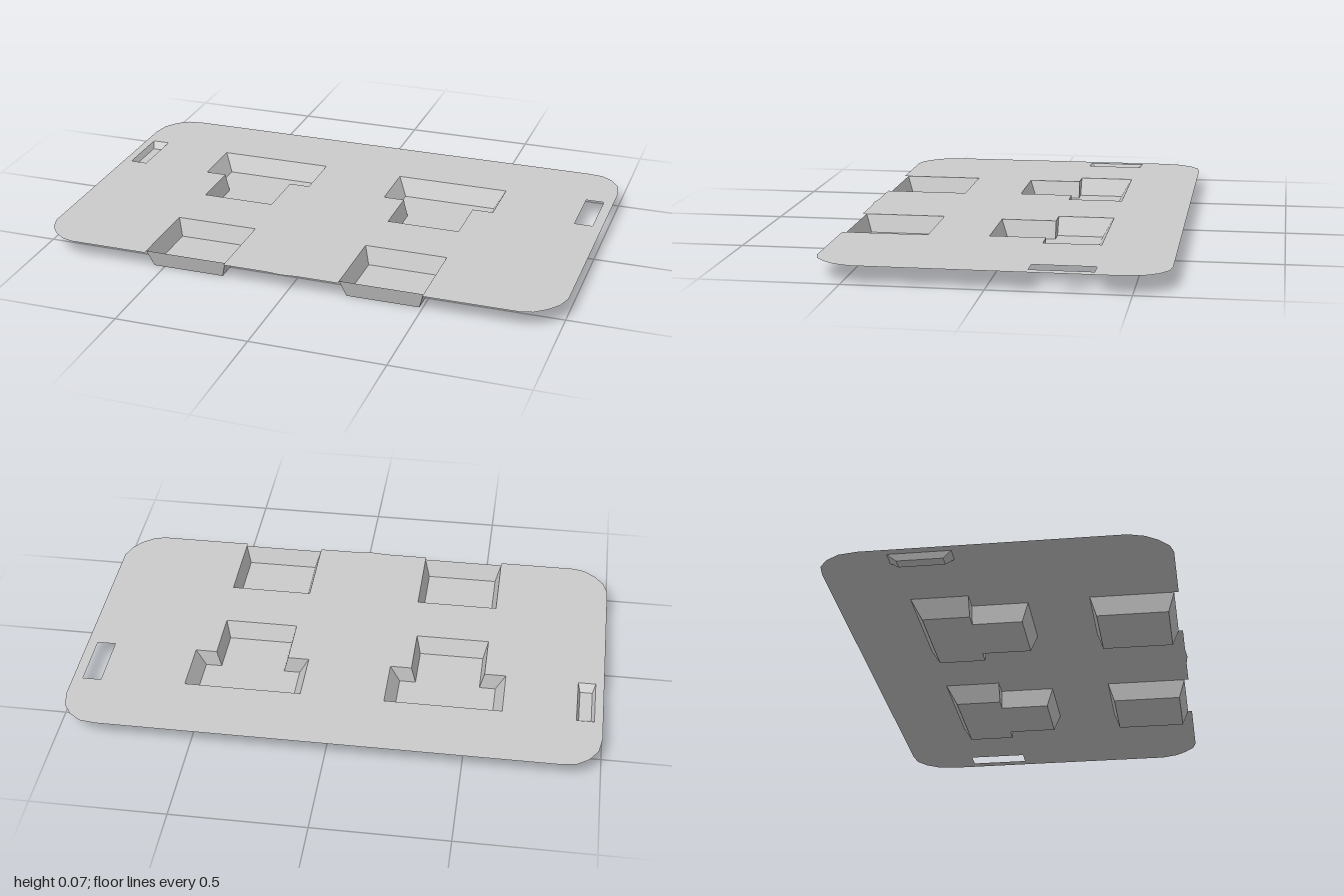
import * as THREE from 'three';

const TOP = 0.067;
const material = new THREE.MeshStandardMaterial({
  color: 0xcccccc, flatShading: true, side: THREE.DoubleSide,
});

// Outlines are lists of [x, z] points; the shape is laid flat facing up.
const toVectors = (pts) => pts.map(([x, z]) => new THREE.Vector2(x, -z));

function flatSheet(pts, y, holes = []) {
  const shape = new THREE.Shape(toVectors(pts));
  holes.forEach((h) => shape.holes.push(new THREE.Path(toVectors(h))));
  return new THREE.ShapeGeometry(shape).rotateX(-Math.PI / 2).translate(0, y, 0);
}

const rect = (x0, x1, z0, z1) => [[x0, z0], [x0, z1], [x1, z1], [x1, z0]];

// T outline: wide bar at the back, narrower stem towards the front
const tee = (cx, bar, stem, zBack, zStep, zFront) => [
  [cx - bar, zBack], [cx - bar, zStep], [cx - stem, zStep], [cx - stem, zFront],
  [cx + stem, zFront], [cx + stem, zStep], [cx + bar, zStep], [cx + bar, zBack],
];

// Sloping walls between the rim and the floor outline
function walls(rim, floor, yFloor) {
  const pos = [];
  rim.forEach((a, i) => {
    const j = (i + 1) % rim.length;
    const A = [a[0], TOP, a[1]], B = [rim[j][0], TOP, rim[j][1]];
    const C = [floor[j][0], yFloor, floor[j][1]], D = [floor[i][0], yFloor, floor[i][1]];
    pos.push(...A, ...B, ...C, ...A, ...C, ...D);
  });
  const geo = new THREE.BufferGeometry();
  geo.setAttribute('position', new THREE.Float32BufferAttribute(pos, 3));
  geo.computeVertexNormals();
  return geo;
}

function addMesh(parent, name, geometry) {
  const mesh = new THREE.Mesh(geometry, material);
  mesh.name = name;
  parent.add(mesh);
}

function pocket(name, rim, floor, yFloor) {
  const group = new THREE.Group();
  group.name = name;
  addMesh(group, name + 'Walls', walls(rim, floor, yFloor));
  addMesh(group, name + 'Floor', flatSheet(floor, yFloor));
  return group;
}

export function createModel() {
  const model = new THREE.Group();
  model.name = 'recessedPlate';

  // Pocket rims
  const teeCentres = [-0.407, 0.351];
  const squareCentres = [-0.404, 0.351];
  const teeRims = teeCentres.map((c) => tee(c, 0.221, 0.14, -0.352, -0.14, 0.067));
  const squareRims = squareCentres.map((c) => rect(c - 0.157, c + 0.157, 0.293, 0.598));
  const slotRim = rect(-0.968, -0.902, -0.37, -0.144);
  const openSlot = rect(0.892, 0.962, -0.37, -0.144);

  // Plate outline: rounded corners, front edge notched around the square pockets
  const notch = ([a, , , d]) => [[a[0], 0.614], a, d, [d[0], 0.614]];
  const outline = [
    [-0.85, -0.625], [-0.91, -0.617], [-0.955, -0.585], [-0.988, -0.535], [-1, -0.465],
    [-1, 0.465], [-0.982, 0.522], [-0.95, 0.565], [-0.905, 0.602], [-0.86, 0.614],
    ...notch(squareRims[0]),
    [-0.08, 0.614], [-0.02, 0.62], [0.04, 0.614],
    ...notch(squareRims[1]),
    [0.86, 0.614], [0.905, 0.602], [0.95, 0.565], [0.982, 0.522], [1, 0.465],
    [1, -0.465], [0.988, -0.535], [0.955, -0.585], [0.91, -0.617], [0.85, -0.625],
  ];
  addMesh(model, 'plate', flatSheet(outline, TOP, [...teeRims, slotRim, openSlot]));

  // T-shaped and square pockets, one of each on both sides
  ['right', 'left'].forEach((side, i) => {
    const t = teeCentres[i], s = squareCentres[i];
    model.add(pocket(side + 'TeePocket', teeRims[i],
      tee(t, 0.184, 0.123, -0.314, -0.14, 0.043), 0));
    model.add(pocket(side + 'SquarePocket', squareRims[i],
      rect(s - 0.137, s + 0.137, 0.315, 0.575), 0));
  });

  // Shallow slot at the right edge
  model.add(pocket('shallowSlot', slotRim, rect(-0.957, -0.911, -0.338, -0.174), 0.045));

  return model;
}
